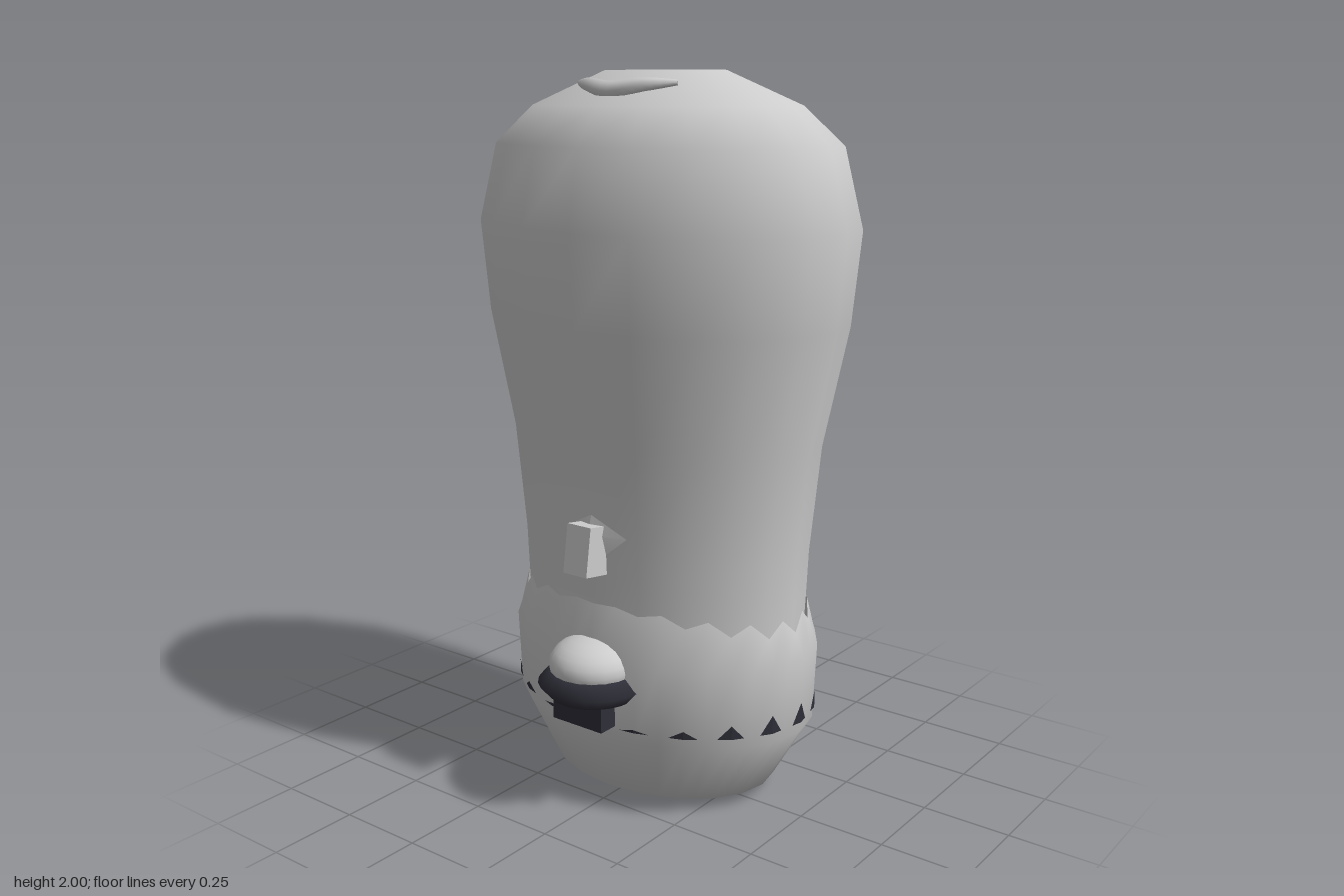
import * as THREE from 'three';

const CZ = -0.035; // depth centre of the body
const SIDES = 20;
const RATIO = 0.71; // depth of the oval compared with its width

// Point on the 20-sided oval at step t (0 = front); half steps lie on the edges
function ringPoint(t, y, r, ratio = RATIO) {
  const at = k => {
    const a = k * Math.PI * 2 / SIDES;
    return new THREE.Vector3(r * Math.sin(a), y, CZ + r * ratio * Math.cos(a));
  };
  return at(Math.floor(t)).lerp(at(Math.floor(t) + 1), t - Math.floor(t));
}

// Smooth skin over closed rows of points, listed from bottom to top
function loft(rows) {
  const n = rows[0].length, pos = [], idx = [];
  rows.forEach(row => row.forEach(p => pos.push(p.x, p.y, p.z)));
  for (let j = 0; j < rows.length - 1; j++) {
    for (let i = 0; i < n; i++) {
      const k = (i + 1) % n, a = j * n + i, b = j * n + k, c = b + n, d = a + n;
      idx.push(a, b, c, a, c, d);
    }
  }
  const g = new THREE.BufferGeometry();
  g.setAttribute('position', new THREE.Float32BufferAttribute(pos, 3));
  g.setIndex(idx);
  g.computeVertexNormals();
  return g;
}

export function createModel() {
  const model = new THREE.Group();
  const grey = new THREE.MeshStandardMaterial({ color: 0xcccccc, side: THREE.DoubleSide });
  grey.name = 'light grey';
  const dark = new THREE.MeshStandardMaterial({ color: 0x2e2e38, side: THREE.DoubleSide });
  dark.name = 'dark slate';
  const add = (name, geometry, material, x = 0, y = 0, z = 0) => {
    const m = new THREE.Mesh(geometry, material);
    m.name = name;
    m.position.set(x, y, z);
    model.add(m);
    return m;
  };
  const steps = Array.from({ length: SIDES }, (_, i) => i);
  const halfSteps = Array.from({ length: SIDES * 2 }, (_, i) => i / 2);

  // Upper body, with a small opening at the top
  const upper = [[0.5, 0.435], [0.6, 0.44], [0.72, 0.445], [1.02, 0.475], [1.35, 0.545],
    [1.6, 0.57], [1.81, 0.515], [1.91, 0.4], [2.0, 0.18], [2.0, 0.034]];
  add('upperBody', loft(upper.map(([y, r]) => steps.map(t => ringPoint(t, y, r)))), grey);

  // Lower body, with a toothed rim that dips at the sides
  const lower = [[0.0, 0.034], [0.035, 0.35], [0.23, 0.465], [0.45, 0.475]]
    .map(([y, r]) => halfSteps.map(t => ringPoint(t, y, r, y < 0.1 ? 0.76 : 0.74)));
  lower.push(halfSteps.map(t => {
    const s = Math.sin(t * Math.PI * 2 / SIDES) ** 2;
    const tooth = (t % 1 ? 0.022 : -0.022) * Math.sqrt(s);
    return ringPoint(t, 0.595 - 0.055 * s + tooth, 0.447);
  }));
  add('lowerBody', loft(lower), grey);

  // Shallow cups closing the openings at both ends
  [['topDimple', 1.975], ['bottomDimple', 0.02]].forEach(([name, y]) => {
    const cup = add(name, new THREE.CircleGeometry(0.036, SIDES), grey, 0, y, CZ);
    cup.rotation.x = y > 1 ? -Math.PI / 2 : Math.PI / 2;
    cup.scale.y = 0.76;
  });

  // Row of dark points around the belt line, largest at the sides
  const teeth = [];
  steps.forEach(i => {
    const s = Math.sin(i * Math.PI * 2 / SIDES) ** 2;
    const h = 0.004 + 0.054 * s, w = 0.3;
    const rim = (t, y) => ringPoint(t + SIDES, y, 0.471, 0.744);
    const left = rim(i - w, 0.26), mid = rim(i, 0.26), right = rim(i + w, 0.26);
    const tip = rim(i, 0.26 + h);
    [left, mid, tip, mid, right, tip].forEach(p => teeth.push(p.x, p.y, p.z));
  });
  const teethGeo = new THREE.BufferGeometry();
  teethGeo.setAttribute('position', new THREE.Float32BufferAttribute(teeth, 3));
  teethGeo.computeVertexNormals();
  add('beltPoints', teethGeo, dark);

  // Front knob: dark block, dark collar and rounded cap
  add('knobBlock', new THREE.BoxGeometry(0.17, 0.1, 0.12), dark, 0, 0.315, 0.3);
  const collar = [[0.08, -0.045], [0.125, -0.035], [0.155, 0], [0.125, 0.035], [0.08, 0.045]]
    .map(p => new THREE.Vector2(...p));
  add('knobCollar', new THREE.LatheGeometry(collar, 24), dark, 0, 0.375, 0.285);
  const cap = add('knobCap', new THREE.SphereGeometry(0.125, 20, 12), grey, 0, 0.425, 0.285);
  cap.scale.y = 0.64;

  // Tilted peg above the knob
  const peg = add('peg', new THREE.BoxGeometry(0.08, 0.135, 0.16), grey, 0, 0.752, 0.272);
  peg.rotation.x = -0.15;

  // Low diamond bumps on the front and back
  [1, -1].forEach(side => {
    const bump = add(side > 0 ? 'frontBump' : 'backBump', new THREE.ConeGeometry(0.12, 0.035, 4),
      grey, 0, 0.795, CZ + side * 0.323);
    bump.rotation.x = side * Math.PI / 2;
  });

  // Curved ridge on the front of the crown, tapering to its ends
  const ridge = new THREE.CatmullRomCurve3([[-0.16, 1.968, 0.125], [-0.09, 1.962, 0.17],
    [0, 1.948, 0.188], [0.09, 1.962, 0.17], [0.16, 1.968, 0.125]]
    .map(p => new THREE.Vector3(...p)));
  const ridgeGeo = new THREE.TubeGeometry(ridge, 16, 0.024, 8);
  const pos = ridgeGeo.attributes.position;
  for (let i = 0; i < pos.count; i++) {
    const u = Math.floor(i / 9) / 16, c = ridge.getPointAt(u);
    const p = new THREE.Vector3().fromBufferAttribute(pos, i).sub(c);
    p.multiplyScalar(0.3 + 0.7 * Math.sin(Math.PI * u)).add(c);
    pos.setXYZ(i, p.x, p.y, p.z);
  }
  ridgeGeo.computeVertexNormals();
  add('crownRidge', ridgeGeo, grey);

  // Faint bump on the back of the crown
  const back = add('crownBump', new THREE.SphereGeometry(0.08, 10, 6), grey, 0, 1.948, -0.238);
  back.scale.set(1, 0.15, 0.22);
  back.rotation.x = -0.55;

  return model;
}
